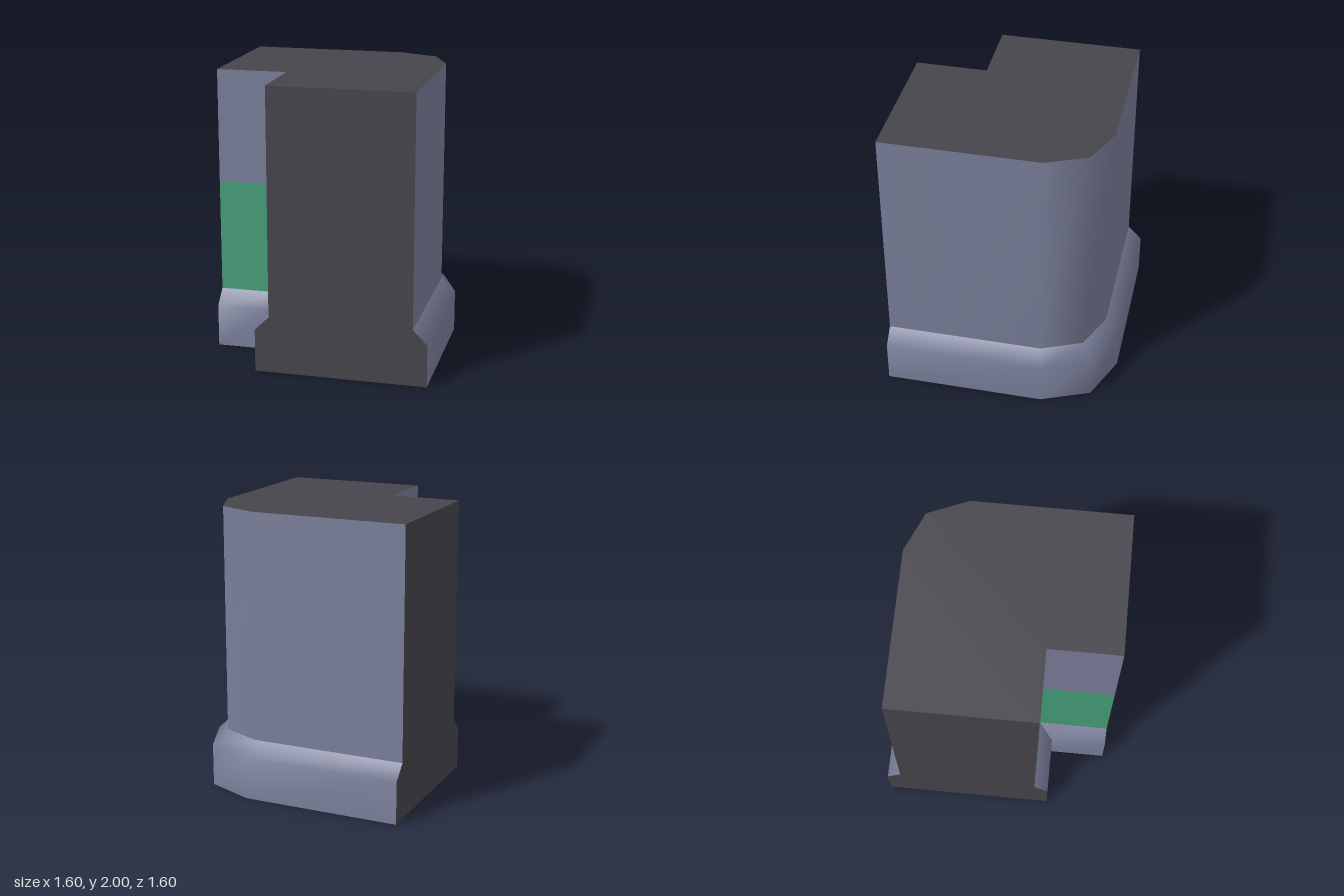
import * as THREE from 'three';

const paint = (name, color) => {
  const m = new THREE.MeshStandardMaterial({ color });
  m.name = name;
  return m;
};

// Footprints as [x, z]: the wall proper and the wider skirting at its foot
const wallOuter = [[-0.8, -0.7], [0.3, -0.7], [0.58, -0.58], [0.7, -0.3], [0.7, 0.8]];
const wallInner = [[-0.3, 0.8], [-0.3, 0.3], [-0.8, 0.3]];
const footOuter = [[-0.8, -0.8], [0.32, -0.8], [0.66, -0.66], [0.8, -0.32], [0.8, 0.8]];
const footInner = [[-0.4, 0.8], [-0.4, 0.4], [-0.8, 0.4]];

// Smooth surface through rows of [path, height], from bottom to top
function loft(rows) {
  const n = rows[0][0].length;
  const pos = rows.flatMap(([path, y]) => path.flatMap(([x, z]) => [x, y, z]));
  const index = [];
  for (let r = 0; r < rows.length - 1; r++) {
    for (let i = 0; i < n - 1; i++) {
      const a = r * n + i, b = a + 1, c = a + n, d = c + 1;
      index.push(a, c, b, b, c, d);
    }
  }
  const g = new THREE.BufferGeometry();
  g.setAttribute('position', new THREE.Float32BufferAttribute(pos, 3));
  g.setIndex(index);
  g.computeVertexNormals();
  return g;
}

const flat = (points) =>
  new THREE.ShapeGeometry(new THREE.Shape(points.map(([x, y]) => new THREE.Vector2(x, y))));

export function createModel() {
  const wall = paint('blue grey wall', 0x7a7f9a);
  const dark = paint('dark cut face', 0x46454c);
  const green = paint('green panel', 0x46a079);

  const model = new THREE.Group();
  model.name = 'cornerWall';
  const add = (name, geometry, material) => {
    const mesh = new THREE.Mesh(geometry, material);
    mesh.name = name;
    model.add(mesh);
    return mesh;
  };

  // Outside of the corner, bevelled round
  add('outerWall', loft([[wallOuter, 0.4], [wallOuter, 2]]), wall);
  add('outerSkirting', loft([[footOuter, 0], [footOuter, 0.3], [wallOuter, 0.4]]), wall);

  // Inside of the corner: two sharp-edged sides, each with a green panel
  ['Side', 'Front'].forEach((side, i) => {
    const w = wallInner.slice(i, i + 2);
    const f = footInner.slice(i, i + 2);
    add('inner' + side + 'Wall', loft([[w, 1.2], [w, 2]]), wall);
    add('inner' + side + 'Panel', loft([[w, 0.4], [w, 1.2]]), green);
    add('inner' + side + 'Skirting', loft([[f, 0], [f, 0.3], [w, 0.4]]), wall);
  });

  // Top and underside
  const top = flat([...wallOuter, ...wallInner].map(([x, z]) => [x, -z]));
  add('topFace', top.rotateX(-Math.PI / 2), dark).position.y = 2;
  const bottom = flat([...footOuter, ...footInner]);
  add('underside', bottom.rotateX(Math.PI / 2), wall);

  // Cut ends with the skirting profile
  const profile = [[-0.6, 0], [0.6, 0], [0.6, 0.3], [0.5, 0.4], [0.5, 2], [-0.5, 2], [-0.5, 0.4], [-0.6, 0.3]];
  add('frontEnd', flat(profile), dark).position.set(0.2, 0, 0.8);
  const sideEnd = add('sideEnd', flat(profile), dark);
  sideEnd.rotation.y = -Math.PI / 2;
  sideEnd.position.set(-0.8, 0, -0.2);

  return model;
}
